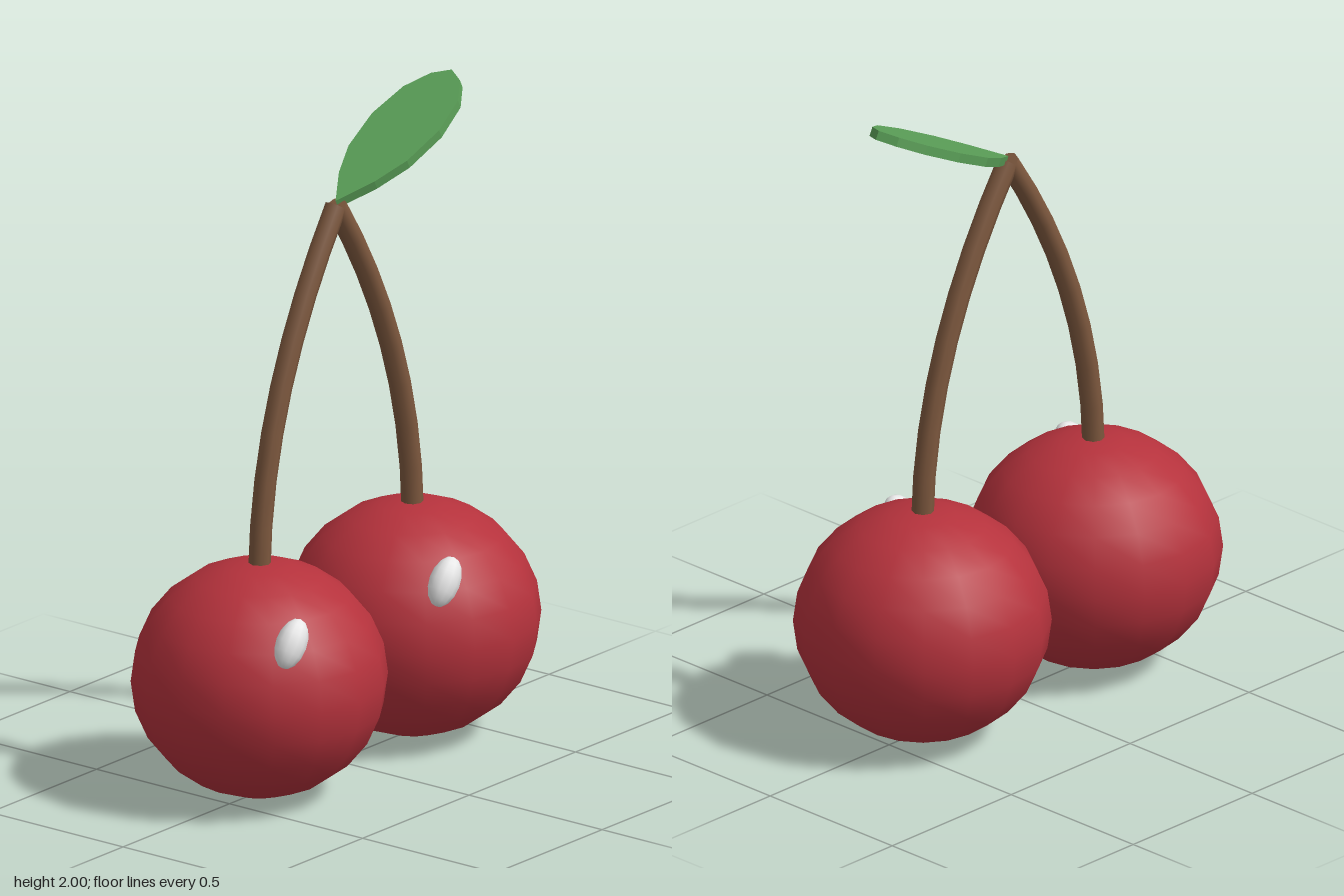
import * as THREE from 'three';

const material = (name, color, side = THREE.FrontSide) => {
  const m = new THREE.MeshStandardMaterial({ color, side });
  m.name = name;
  return m;
};

export function createModel() {
  const group = new THREE.Group();
  group.name = 'cherryPair';
  const red = material('cherryRed', 0xb5323c);
  const brown = material('stemBrown', 0x7d583e, THREE.DoubleSide);
  const green = material('leafGreen', 0x5a9e57);
  const white = material('highlightWhite', 0xf4f4f4);

  const add = (name, geometry, mat, parent = group) => {
    const mesh = new THREE.Mesh(geometry, mat);
    mesh.name = name;
    parent.add(mesh);
    return mesh;
  };

  for (const [side, s] of [['left', 1], ['right', -1]]) {
    // Slightly squashed fruit
    const fruit = new THREE.Group();
    fruit.name = side + 'Cherry';
    fruit.position.set(s * 0.36, 0.358, 0);
    group.add(fruit);
    add(side + 'Fruit', new THREE.SphereGeometry(0.38, 16, 12).scale(1, 0.94, 1), red, fruit);

    // Shine spot, on the same side of both fruits
    const shine = add(side + 'Highlight', new THREE.SphereGeometry(1, 12, 8), white, fruit);
    shine.scale.set(0.05, 0.08, 0.045);
    shine.rotation.z = -0.6;
    shine.position.set(-0.17, 0.2, 0.255);

    // Stem bowing outwards, meeting its twin at the top
    const curve = new THREE.QuadraticBezierCurve3(
      new THREE.Vector3(s * 0.36, 0.68, 0),
      new THREE.Vector3(s * 0.35, 1.21, 0),
      new THREE.Vector3(0, 1.72, 0));
    add(side + 'Stem', new THREE.TubeGeometry(curve, 8, 0.033, 8), brown);

    // Cap closing the upper end of the stem
    const cap = add(side + 'StemCap', new THREE.CircleGeometry(0.033, 8), brown);
    cap.position.copy(curve.getPoint(1));
    cap.lookAt(cap.position.clone().add(curve.getTangent(1)));
  }

  // Flat leaf: pointed at the stem, rounded at the tip
  const half = [[0.11, 0.067], [0.22, 0.11], [0.365, 0.126], [0.495, 0.103], [0.572, 0.055]];
  const outline = [[0, 0], ...half.map(([x, y]) => [x, -y]), [0.605, 0],
    ...half.slice().reverse()];
  const shape = new THREE.Shape(outline.map(([x, y]) => new THREE.Vector2(x, y)));
  const leafGeometry = new THREE.ExtrudeGeometry(shape, { depth: 0.028, bevelEnabled: false });
  leafGeometry.translate(0, 0, -0.014).rotateX(-Math.PI / 2);
  const leaf = add('leaf', leafGeometry, green);
  leaf.rotation.z = 0.447;
  leaf.position.set(0.004, 1.725, 0);

  return group;
}
